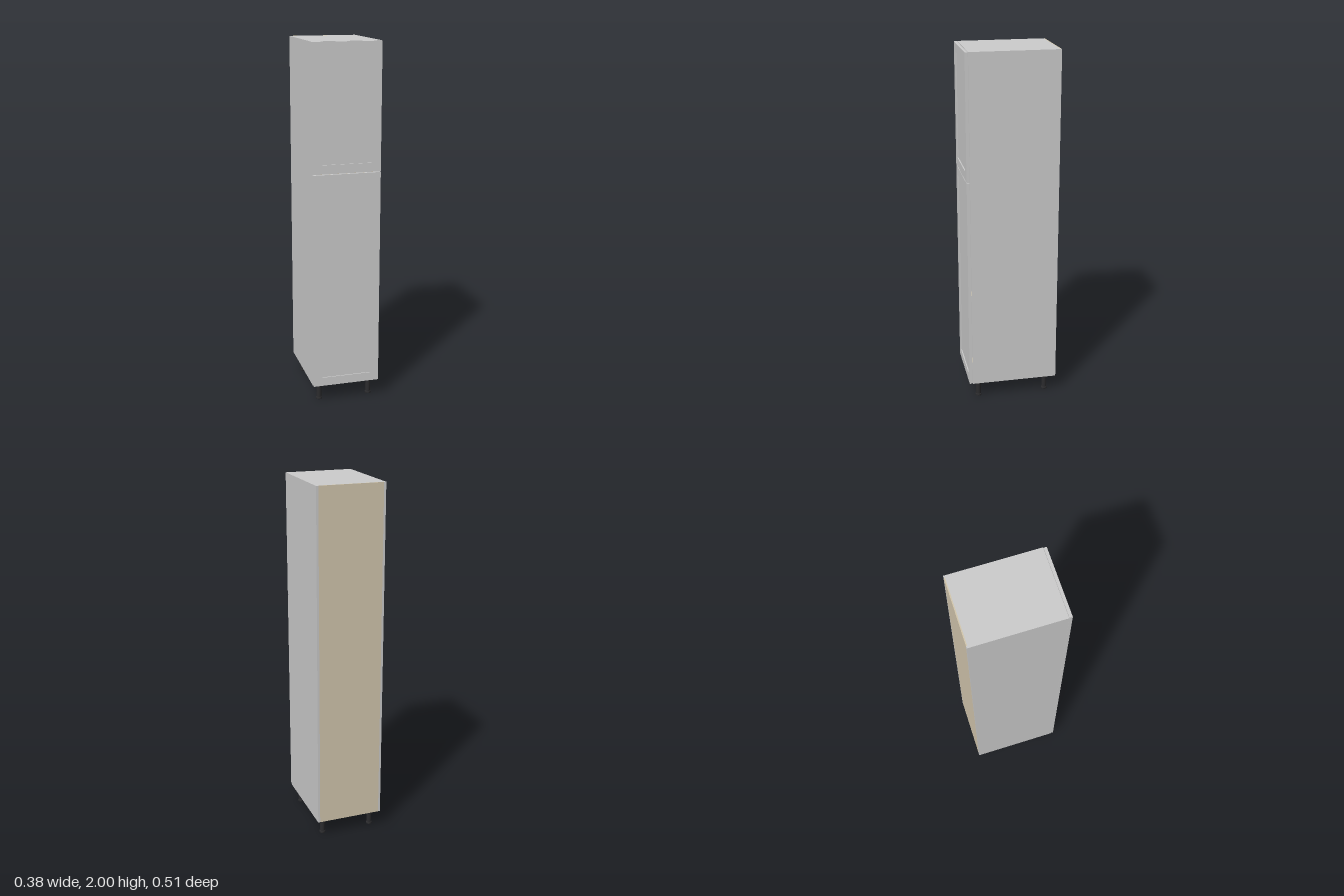
import * as THREE from 'three';

const grey = new THREE.MeshStandardMaterial({ color: 0xcccccc });
const tan = new THREE.MeshStandardMaterial({ color: 0xd3c7ae });
const black = new THREE.MeshStandardMaterial({ color: 0x2b2b2d });

// Box given by its minimum and maximum corners
function panel(name, [x0, y0, z0], [x1, y1, z1], material) {
  const mesh = new THREE.Mesh(new THREE.BoxGeometry(x1 - x0, y1 - y0, z1 - z0), material);
  mesh.position.set((x0 + x1) / 2, (y0 + y1) / 2, (z0 + z1) / 2);
  mesh.name = name;
  return mesh;
}

function trace(path, x, y0, y1) {
  path.moveTo(-x, y0);
  path.lineTo(x, y0);
  path.lineTo(x, y1);
  path.lineTo(-x, y1);
  path.closePath();
  return path;
}

// Framed door with a recessed centre panel
function door(name, y0, y1) {
  const group = new THREE.Group();
  group.name = name;
  const rail = 0.049, half = 0.188, inner = half - rail;
  const shape = trace(new THREE.Shape(), half, y0, y1);
  shape.holes.push(trace(new THREE.Path(), inner, y0 + rail, y1 - rail));
  const frame = new THREE.Mesh(
    new THREE.ExtrudeGeometry(shape, { depth: 0.016, bevelEnabled: false }), grey);
  frame.position.z = 0.237;
  frame.name = 'doorFrame';
  group.add(frame, panel('doorPanel',
    [-inner, y0 + rail, 0.239], [inner, y1 - rail, 0.247], grey));
  return group;
}

// Round leg with mounting flange and foot
function leg(x, z) {
  const group = new THREE.Group();
  group.name = 'leg';
  const profile = [[0, 0], [0.016, 0], [0.017, 0.002], [0.017, 0.01], [0.014, 0.013],
    [0.014, 0.083], [0.017, 0.085], [0.017, 0.092], [0.025, 0.092], [0.025, 0.1], [0, 0.1]];
  // Doubled points keep the turned edges sharp
  const points = profile.flatMap(([r, y]) => [new THREE.Vector2(r, y), new THREE.Vector2(r, y)]);
  const mesh = new THREE.Mesh(new THREE.LatheGeometry(points.slice(1, -1), 24), black);
  mesh.name = 'legPost';
  group.add(mesh);
  group.position.set(x, 0, z);
  return group;
}

export function createModel() {
  const model = new THREE.Group();
  model.name = 'tallCabinet';
  const back = -0.253, front = 0.235, outer = 0.19, inner = 0.178;

  // Carcass
  const carcass = new THREE.Group();
  carcass.name = 'carcass';
  carcass.add(
    panel('leftSide', [inner, 0.1, back], [outer, 2, front], grey),
    panel('rightSide', [-outer, 0.1, back], [-inner, 2, front], grey),
    panel('topPanel', [-inner, 1.988, back + 0.006], [inner, 2, front], grey),
    panel('bottomPanel', [-inner, 0.1, back + 0.006], [inner, 0.112, front], tan),
    panel('backPanel', [-inner, 0.1, back], [inner, 2, back + 0.006], tan));
  for (const y of [0.5, 0.9, 1.3, 1.65]) {
    carcass.add(panel('shelf', [-inner, y, back + 0.006], [inner, y + 0.012, front - 0.02], tan));
  }
  model.add(carcass);

  // Doors
  model.add(door('lowerDoor', 0.101, 1.308), door('upperDoor', 1.312, 1.999));

  // Legs
  for (const x of [-0.145, 0.145]) {
    for (const z of [-0.196, 0.196]) model.add(leg(x, z));
  }
  return model;
}
